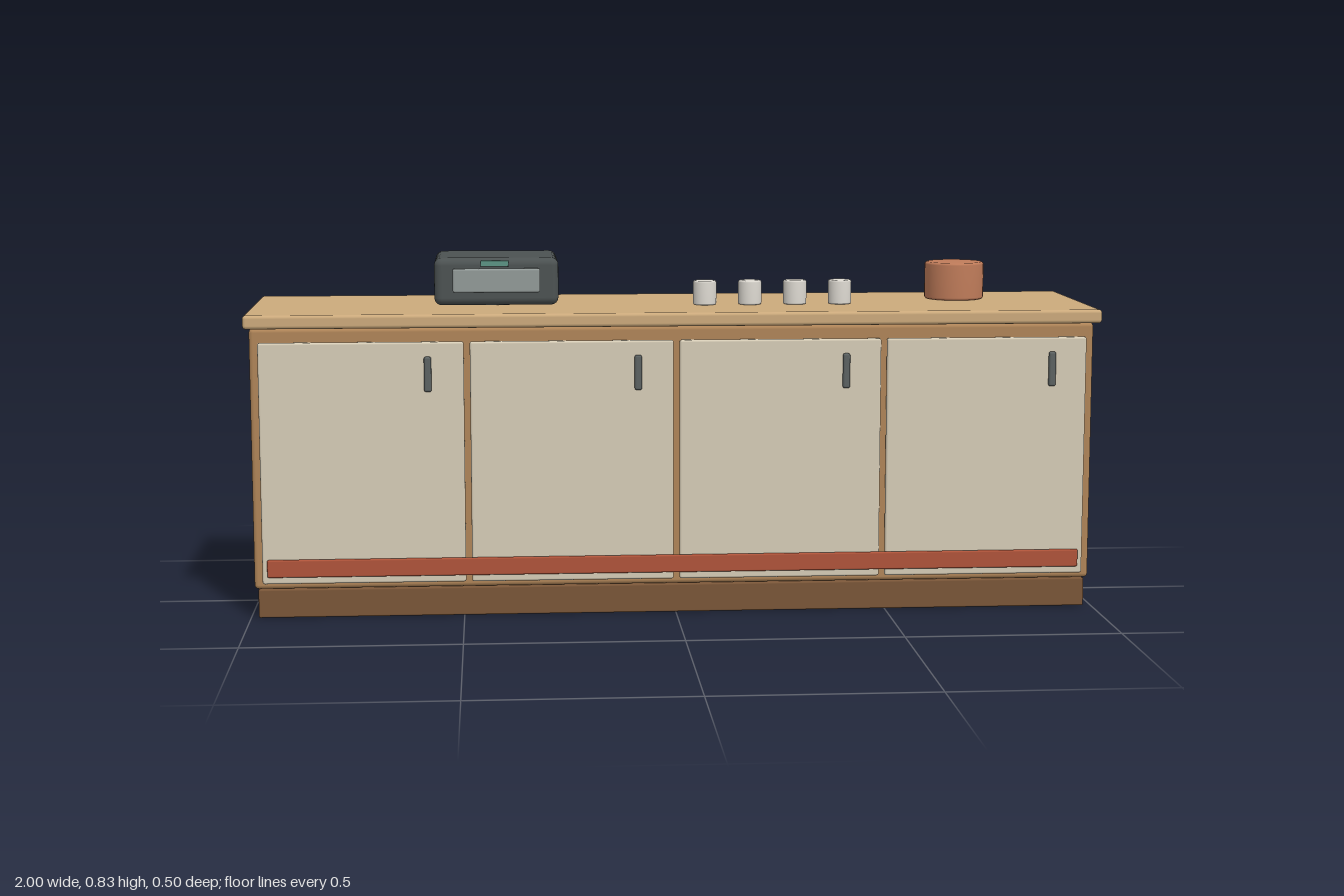
import * as THREE from 'three';
import { RoundedBoxGeometry } from 'three/addons/geometries/RoundedBoxGeometry.js';

const mat = (color) => new THREE.MeshStandardMaterial({ color });
const materials = {
  worktop: mat(0xccaa7c), carcass: mat(0xb08558), plinth: mat(0x7a5638),
  door: mat(0xd6ccb6), metal: mat(0x5c6262), rail: mat(0xb0543a),
  oven: mat(0x4c5252), glass: mat(0x929a98), display: mat(0x5c9484),
  cup: mat(0xdedad2), pot: mat(0xc07c5a),
};

// Softly rounded box given by its extents on each axis
function block(name, material, [x0, x1], [y0, y1], [z0, z1], radius = 0.006, segments = 2) {
  const geometry = new RoundedBoxGeometry(x1 - x0, y1 - y0, z1 - z0, segments, radius);
  const mesh = new THREE.Mesh(geometry, material);
  mesh.position.set((x0 + x1) / 2, (y0 + y1) / 2, (z0 + z1) / 2);
  mesh.name = name;
  return mesh;
}

// Solid round vessel with slightly eased rims, standing on its own base
function vessel(name, material, radius, height, ease) {
  const profile = [
    [0, 0], [radius - ease, 0], [radius - ease * 0.3, ease * 0.3], [radius, ease],
    [radius, height - ease], [radius - ease * 0.3, height - ease * 0.3],
    [radius - ease, height], [0, height],
  ].map(([x, y]) => new THREE.Vector2(x, y));
  const mesh = new THREE.Mesh(new THREE.LatheGeometry(profile, 32), material);
  mesh.name = name;
  return mesh;
}

export function createModel() {
  const model = new THREE.Group();
  model.name = 'kitchenCounter';
  const m = materials;
  const top = 0.718;

  // Cabinet body
  model.add(
    block('plinth', m.plinth, [-0.982, 0.982], [0, 0.068], [-0.233, 0.2], 0.004),
    block('carcass', m.carcass, [-0.99, 0.99], [0.07, 0.684], [-0.24, 0.208], 0.01),
    block('worktop', m.worktop, [-1, 1], [0.686, top], [-0.25, 0.25], 0.008),
  );

  // Four doors, each with an upright pull near its left edge
  for (let i = 0; i < 4; i++) {
    const x = (i - 1.5) * 0.488;
    const door = new THREE.Group();
    door.name = `door${i + 1}`;
    door.add(
      block('doorPanel', m.door, [x - 0.237, x + 0.237], [0.086, 0.652], [0.214, 0.229], 0.005),
      block('doorHandle', m.metal, [x + 0.145, x + 0.162], [0.537, 0.619], [0.23, 0.243], 0.005),
    );
    model.add(door);
  }

  // Coloured rail along the foot of the doors
  model.add(block('kickRail', m.rail, [-0.957, 0.957], [0.103, 0.145], [0.229, 0.238], 0.004));

  // Countertop oven with window and display
  const oven = new THREE.Group();
  oven.name = 'countertopOven';
  oven.add(
    block('ovenBody', m.oven, [-0.565, -0.27], [0.72, 0.833], [-0.198, 0.064], 0.018, 3),
    block('ovenWindow', m.glass, [-0.521, -0.314], [0.752, 0.809], [0.066, 0.083], 0.005),
    block('ovenDisplay', m.display, [-0.455, -0.388], [0.813, 0.827], [0.064, 0.07], 0.002),
  );
  model.add(oven);

  // Row of cups
  for (let i = 0; i < 4; i++) {
    const cup = vessel(`cup${i + 1}`, m.cup, 0.028, 0.058, 0.004);
    cup.position.set(0.08 + i * 0.1085, top, 0.05);
    model.add(cup);
  }

  // Copper-toned pot
  const pot = vessel('pot', m.pot, 0.072, 0.091, 0.006);
  pot.position.set(0.705, top, -0.068);
  model.add(pot);

  return model;
}
